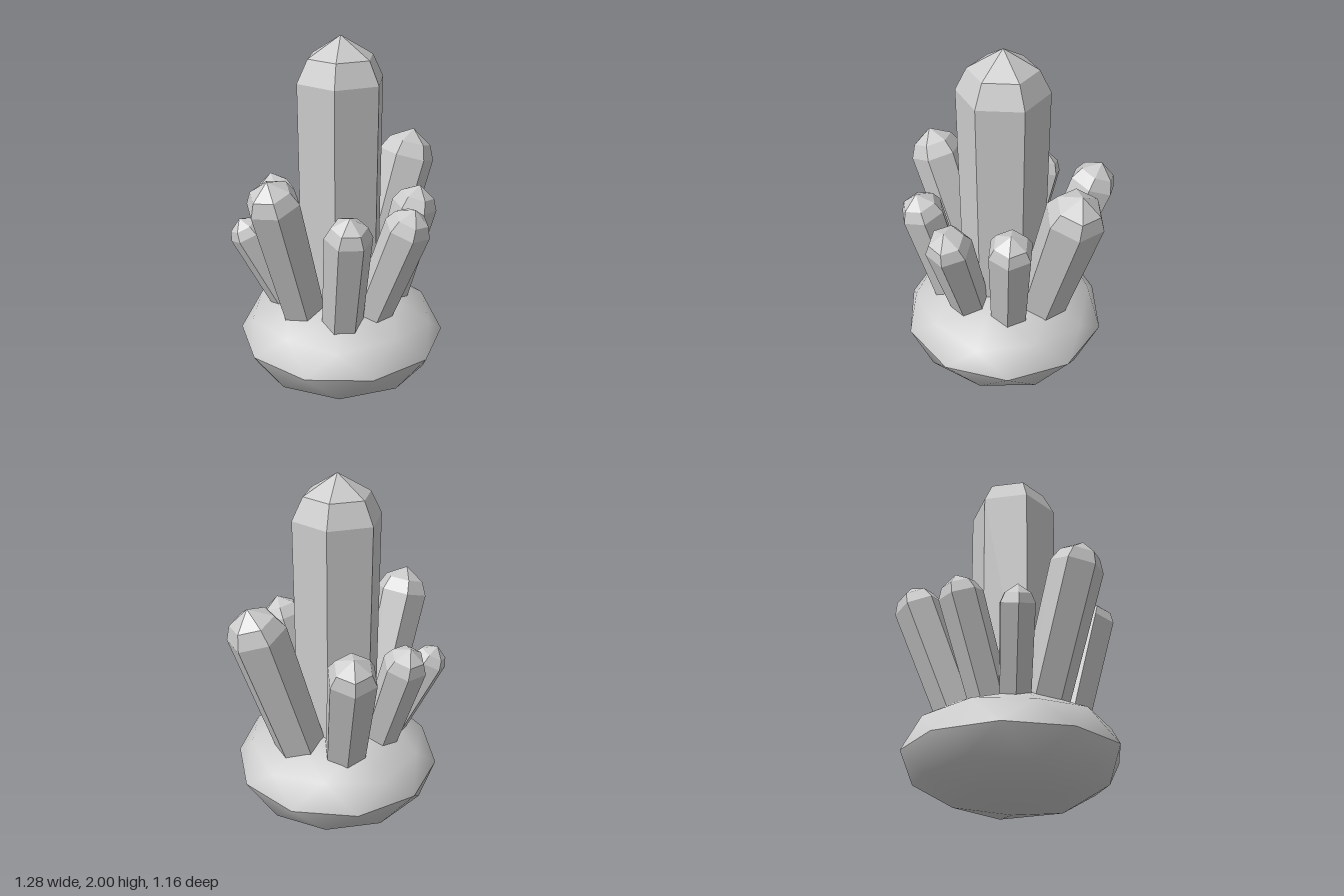
import * as THREE from 'three';
import { mergeVertices } from 'three/addons/utils/BufferGeometryUtils.js';

const rockMat = new THREE.MeshStandardMaterial({ color: 0xcccccc });
const crystalMat = new THREE.MeshStandardMaterial({ color: 0xcccccc, flatShading: true });

// One half of the rock, smooth in itself so the equator stays a sharp edge
function rockHalf(sign) {
  const ico = new THREE.IcosahedronGeometry(1, 1);
  ico.rotateX(-Math.atan2((1 + Math.sqrt(5)) / 2, 1)); // a corner on the y axis
  ico.rotateY(Math.PI / 2);
  ico.scale(0.58, 0.3, 0.58);
  const p = ico.attributes.position;
  const kept = [];
  for (let i = 0; i < p.count; i += 3) {
    const mid = p.getY(i) + p.getY(i + 1) + p.getY(i + 2);
    if (mid * sign <= 0) continue;
    for (let j = i; j < i + 3; j++) kept.push(p.getX(j), p.getY(j), p.getZ(j));
  }
  const geo = new THREE.BufferGeometry();
  geo.setAttribute('position', new THREE.Float32BufferAttribute(kept, 3));
  const half = mergeVertices(geo, 1e-4);
  half.computeVertexNormals();
  const mesh = new THREE.Mesh(half, rockMat);
  mesh.position.y = 0.305;
  return mesh;
}

// Six-sided crystal from foot to tip; turn is the heading of a corner in degrees
function crystal(name, foot, tip, r, footScale, turn) {
  const a = new THREE.Vector3(...foot);
  const axis = new THREE.Vector3(...tip).sub(a);
  const len = axis.length();
  const profile = [
    [0, 0],
    [r * footScale, 0],
    [r, len - 0.95 * r],
    [0.75 * r, len - 0.45 * r],
    [0, len],
  ].map(([x, y]) => new THREE.Vector2(x, y));
  const geo = new THREE.LatheGeometry(profile, 6);
  geo.rotateY(THREE.MathUtils.degToRad(30 - turn));
  const mesh = new THREE.Mesh(geo, crystalMat);
  mesh.name = name;
  mesh.position.copy(a);
  mesh.quaternion.setFromUnitVectors(new THREE.Vector3(0, 1, 0), axis.normalize());
  return mesh;
}

export function createModel() {
  const model = new THREE.Group();
  model.name = 'crystalCluster';

  // Rock base
  const rock = new THREE.Group();
  rock.name = 'rockBase';
  const top = rockHalf(1);
  top.name = 'rockTop';
  const bottom = rockHalf(-1);
  bottom.name = 'rockUnderside';
  rock.add(top, bottom);
  model.add(rock);

  // Tall central crystal
  model.add(crystal('mainCrystal', [-0.005, 0.4, 0], [-0.005, 2, 0], 0.242, 0.97, 30));

  // Ring of leaning crystals: name, x and z where it leaves the rock, tip, radius, turn
  const ring = [
    ['frontCrystal', -0.06, 0.25, [-0.03, 1.175, 0.497], 0.125, 12],
    ['frontLeftCrystal', 0.17, 0.2, [0.27, 1.185, 0.335], 0.125, 1],
    ['leftCrystal', 0.27, 0.02, [0.54, 1.4, 0.11], 0.16, 50],
    ['backLeftCrystal', 0.17, -0.22, [0.355, 1.24, -0.44], 0.135, 12],
    ['backCrystal', -0.075, -0.25, [-0.035, 1.165, -0.483], 0.12, 11],
    ['backRightCrystal', -0.21, -0.22, [-0.39, 1.02, -0.4], 0.1, 45],
    ['rightCrystal', -0.26, -0.06, [-0.54, 1.355, -0.05], 0.145, 10],
    ['frontRightCrystal', -0.24, 0.19, [-0.35, 1.19, 0.32], 0.125, 46],
  ];
  for (const [name, x, z, tip, r, turn] of ring) {
    // Carry the axis on down into the rock
    const t = (0.38 - 0.5) / (tip[1] - 0.5);
    const foot = [x + (tip[0] - x) * t, 0.38, z + (tip[2] - z) * t];
    model.add(crystal(name, foot, tip, r, 0.86, turn));
  }
  return model;
}
